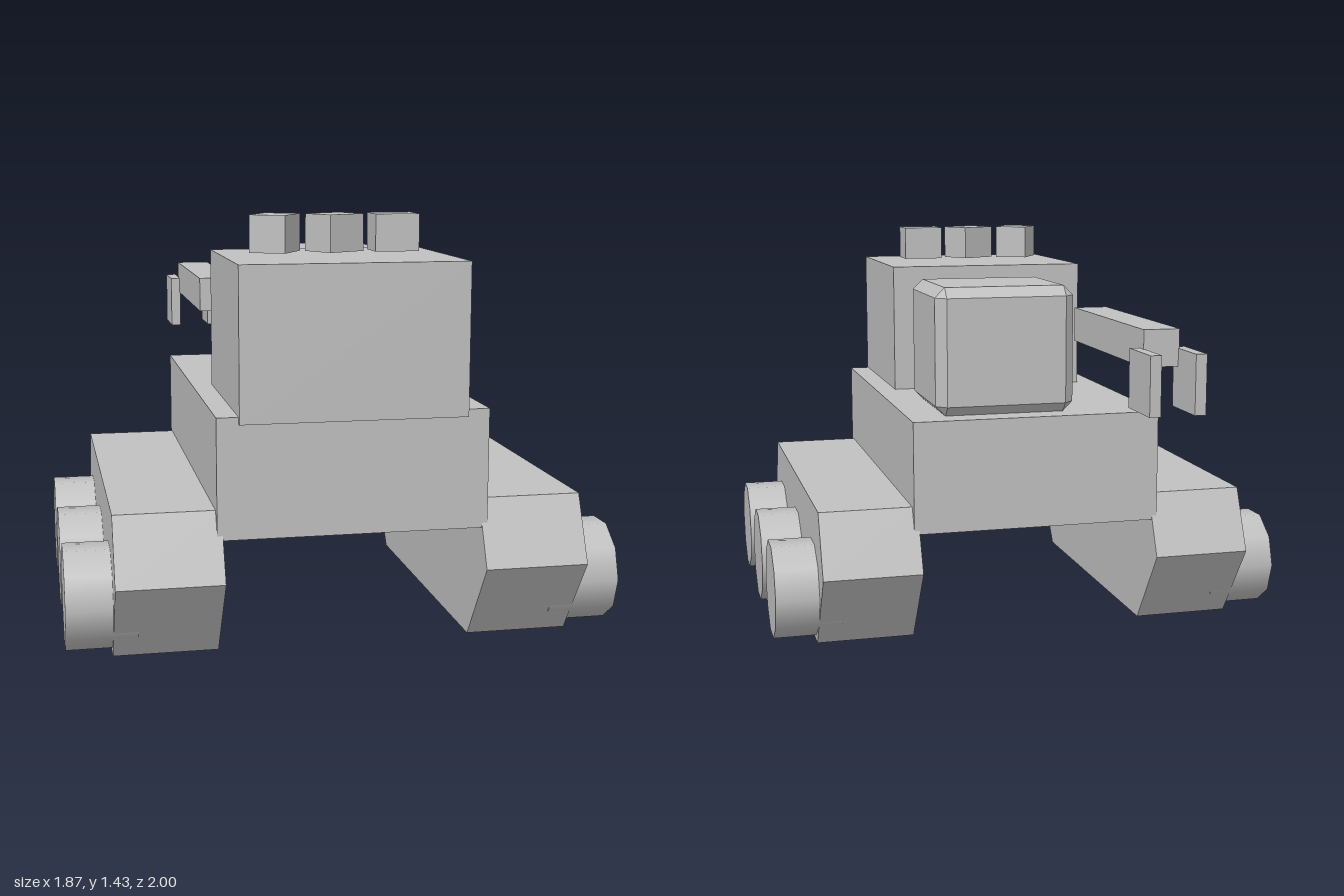
import * as THREE from 'three';
import { ConvexGeometry } from 'three/addons/geometries/ConvexGeometry.js';

const grey = new THREE.MeshStandardMaterial({ color: 0xc0c0c0 });
grey.name = 'grey';

function add(parent, name, geometry, x = 0, y = 0, z = 0) {
  const mesh = new THREE.Mesh(geometry, grey);
  mesh.name = name;
  mesh.position.set(x, y, z);
  parent.add(mesh);
  return mesh;
}

// Box given by its lower and upper limits on each axis
function addBox(parent, name, [x0, x1], [y0, y1], [z0, z1]) {
  return add(parent, name, new THREE.BoxGeometry(x1 - x0, y1 - y0, z1 - z0),
    (x0 + x1) / 2, (y0 + y1) / 2, (z0 + z1) / 2);
}

// Box with every edge cut at 45 degrees
function chamferedBox(w, h, d, c) {
  const points = [];
  for (const sx of [-1, 1]) for (const sy of [-1, 1]) for (const sz of [-1, 1]) {
    const x = w / 2, y = h / 2, z = d / 2;
    points.push(
      new THREE.Vector3(sx * x, sy * (y - c), sz * (z - c)),
      new THREE.Vector3(sx * (x - c), sy * y, sz * (z - c)),
      new THREE.Vector3(sx * (x - c), sy * (y - c), sz * z));
  }
  return new ConvexGeometry(points);
}

export function createModel() {
  const model = new THREE.Group();
  model.name = 'trackedRover';

  // Hull and cargo box
  addBox(model, 'hull', [-0.45, 0.45], [0.41, 0.81], [-0.455, 0.935]);
  addBox(model, 'cargoBox', [-0.378, 0.375], [0.787, 1.292], [0.29, 0.95]);

  // Small blocks above the cargo box
  [[-0.205, Math.PI / 3], [-0.002, Math.PI / 6], [0.2, 0]].forEach(([x, turn]) => {
    add(model, 'block', new THREE.BoxGeometry(0.15, 0.125, 0.125), x, 1.368, 0.618).rotation.y = turn;
  });

  // Chamfered cabin
  add(model, 'cabin', chamferedBox(0.505, 0.455, 0.455, 0.036), 0.0975, 1.037, -0.165);

  // Arm with two gripper plates
  addBox(model, 'arm', [-0.37, -0.245], [1.03, 1.155], [-0.845, -0.09]);
  addBox(model, 'gripper', [-0.405, -0.367], [0.89, 1.09], [-1, -0.8]);
  addBox(model, 'gripper', [-0.25, -0.212], [0.89, 1.09], [-1, -0.8]);

  // Track profile, drawn with shape x along -z
  const profile = new THREE.Shape([
    [-0.8, 0], [0.32, 0], [0.518, 0.283], [0.42, 0.503], [-0.9, 0.503], [-1, 0.283],
  ].map(([x, y]) => new THREE.Vector2(x, y)));
  const trackGeometry = new THREE.ExtrudeGeometry(profile, { depth: 0.35, bevelEnabled: false })
    .translate(0, 0, -0.175).rotateY(Math.PI / 2);
  const wheelGeometry = new THREE.CylinderGeometry(0.176, 0.176, 0.235, 10).rotateZ(Math.PI / 2);

  // Tracks and wheels on both sides
  for (const side of [-1, 1]) {
    const track = new THREE.Group();
    track.name = side > 0 ? 'leftTrack' : 'rightTrack';
    add(track, 'trackBody', trackGeometry, side * 0.606);
    for (const z of [-0.242, 0.24, 0.725]) add(track, 'wheel', wheelGeometry, side * 0.817, 0.19, z);
    model.add(track);
  }
  return model;
}
